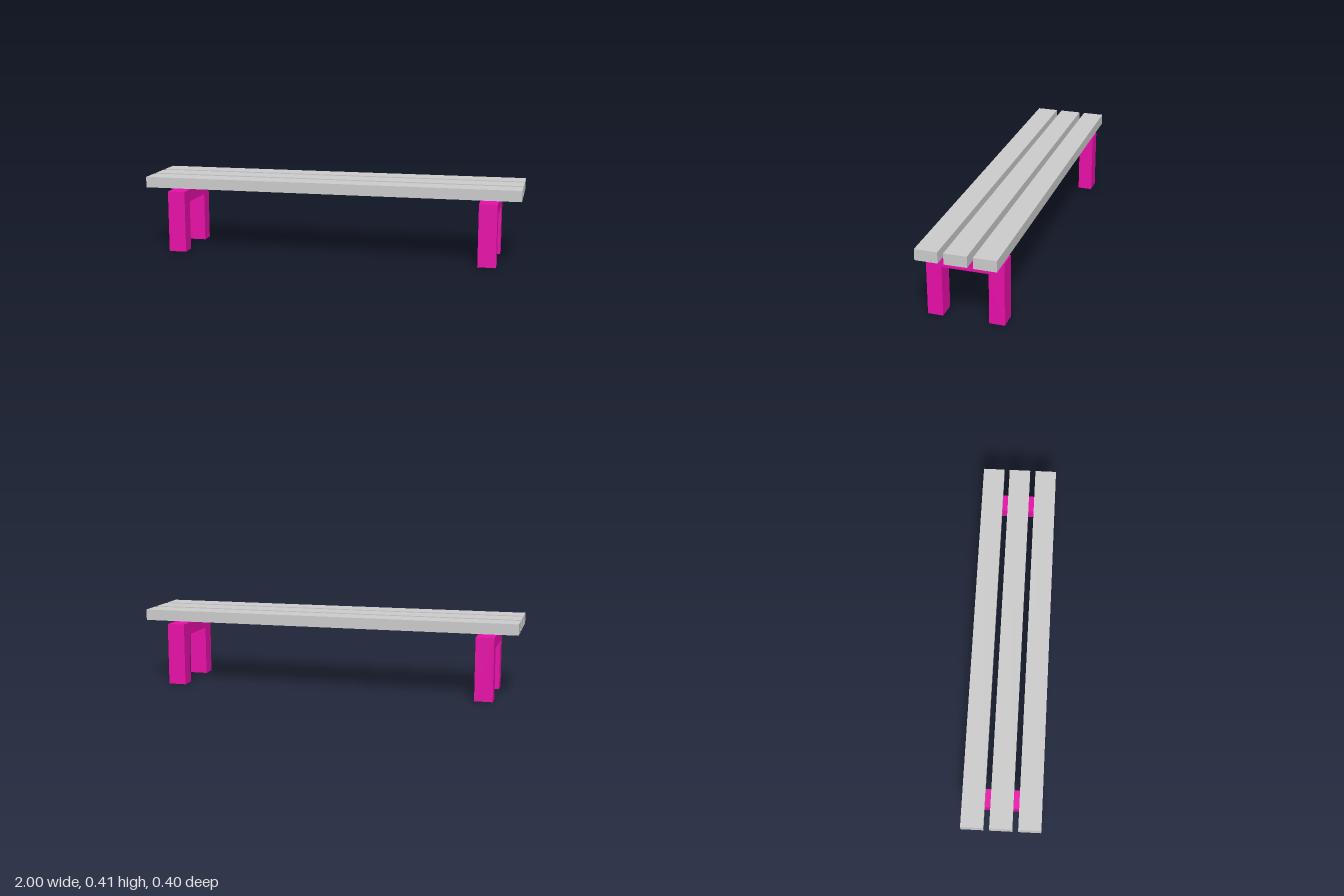
import * as THREE from 'three';

export function createModel() {
  const bench = new THREE.Group();
  bench.name = 'bench';
  const slatMaterial = new THREE.MeshStandardMaterial({ color: 0xcccccc, flatShading: true });
  const legMaterial = new THREE.MeshStandardMaterial({ color: 0xe80fa9, flatShading: true });

  // Three seat slats, front to back
  const slatGeometry = new THREE.BoxGeometry(2, 0.057, 0.114);
  ['backSlat', 'middleSlat', 'frontSlat'].forEach((name, i) => {
    const slat = new THREE.Mesh(slatGeometry, slatMaterial);
    slat.name = name;
    slat.position.set(0, 0.3765, (i - 1) * 0.143);
    bench.add(slat);
  });

  // Leg frame profile: two legs, a cross beam and a raised block under the middle slat
  const half = [[0.117, 0.264], [0.117, 0], [0.195, 0], [0.195, 0.329], [0.057, 0.329], [0.057, 0.348]];
  const mirrored = half.map(([x, y]) => [-x, y]).reverse();
  const profile = new THREE.Shape([...half, ...mirrored].map(([x, y]) => new THREE.Vector2(x, y)));
  const depth = 0.094;
  const frameGeometry = new THREE.ExtrudeGeometry(profile, { depth, bevelEnabled: false });
  frameGeometry.translate(0, 0, -depth / 2).rotateY(Math.PI / 2);

  // One frame near each end
  for (const side of [-1, 1]) {
    const frame = new THREE.Mesh(frameGeometry, legMaterial);
    frame.name = side > 0 ? 'leftLegFrame' : 'rightLegFrame';
    frame.position.x = side * 0.833;
    bench.add(frame);
  }
  return bench;
}
